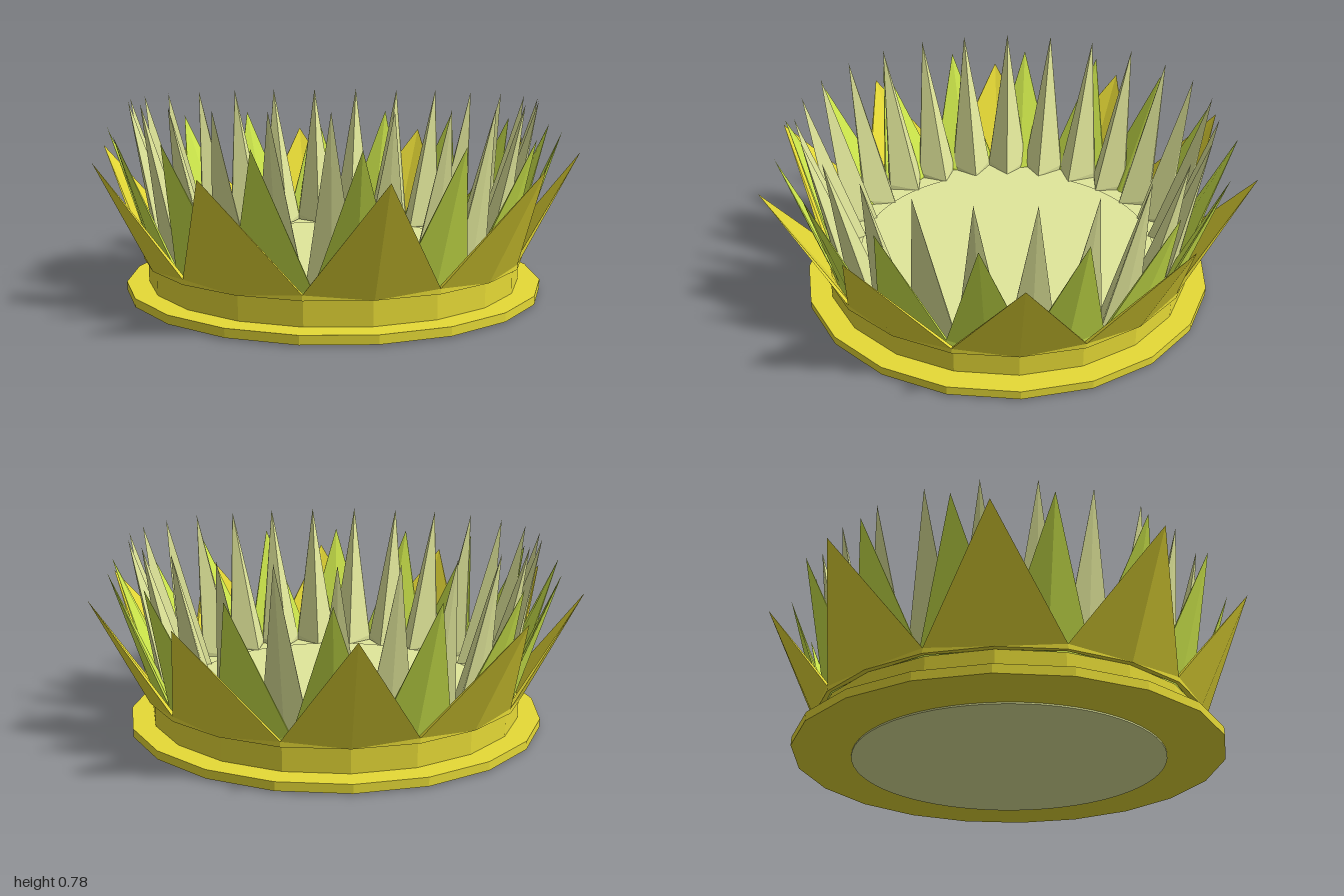
import * as THREE from 'three';

const flat = (name, color) => {
  const m = new THREE.MeshStandardMaterial({ color, flatShading: true, side: THREE.DoubleSide });
  m.name = name;
  return m;
};

// Point on a ring: angle measured from +z towards +x.
const polar = (r, a, y) => [r * Math.sin(a), y, r * Math.cos(a)];

// Ring of pointed petals: an outer and an inner sheet sharing the tips.
// Each sheet: mid = radius at the fold of a petal, valley = radius of the notch between petals.
function petalRing({ count, start, tip, base, notch, outer, inner }) {
  const pos = [];
  const half = Math.PI / count;
  for (let i = 0; i < count; i++) {
    const a = start + i * 2 * half;
    const T = polar(tip[0], a, tip[1]);
    for (const side of [1, -1]) {
      const tri = (p, q, r, flip) =>
        (side > 0) !== flip ? pos.push(...p, ...q, ...r) : pos.push(...p, ...r, ...q);
      const sheet = (s, flip) => {
        const M = polar(s.mid, a, base);
        const L = polar(s.valley, a + side * half, base);
        const V = polar(s.valley, a + side * half, notch);
        tri(T, M, V, flip);
        tri(M, L, V, flip);
        return { M, L, V };
      };
      const o = sheet(outer, false);
      const n = sheet(inner, true);
      // Thin edge between the sheets and the underside
      tri(T, o.V, n.V, false);
      tri(o.M, n.M, n.L, false);
      tri(o.M, n.L, o.L, false);
    }
  }
  const g = new THREE.BufferGeometry();
  g.setAttribute('position', new THREE.Float32BufferAttribute(pos, 3));
  g.computeVertexNormals();
  return g;
}

export function createModel() {
  const model = new THREE.Group();
  const yellow = flat('golden yellow', 0xe6da36);
  const lime = flat('lime green', 0xd4ee4e);
  const pale = flat('pale green', 0xe1e79a);
  const add = (name, geometry, material) => {
    const mesh = new THREE.Mesh(geometry, material);
    mesh.name = name;
    model.add(mesh);
    return mesh;
  };
  // Upright cylinder standing between two heights
  const drum = (name, r, y0, y1, sides, material) => {
    add(name, new THREE.CylinderGeometry(r, r, y1 - y0, sides), material).position.y = (y0 + y1) / 2;
  };

  // Twenty-sided foot plate with a raised band
  const profile = [[0.6, 0.006], [0.857, 0.006], [0.857, 0.04], [0.768, 0.04], [0.768, 0.135], [0.73, 0.135]]
    .map(([x, y]) => new THREE.Vector2(x, y));
  add('footAndBand', new THREE.LatheGeometry(profile, 20), yellow);

  // Round floor, showing above and below, and the bands under the inner petals
  drum('floor', 0.626, 0, 0.138, 64, pale);
  drum('spikeBand', 0.73, 0.03, 0.134, 50, pale);
  drum('middleBand', 0.755, 0.03, 0.131, 32, lime);

  // Outer wide petals
  add('outerPetals', petalRing({
    count: 10, start: Math.PI / 10, tip: [1, 0.57], base: 0.137, notch: 0.157,
    outer: { mid: 0.785, valley: 0.787 },
    inner: { mid: 0.76, valley: 0.772 },
  }), yellow);

  // Middle petals
  add('middlePetals', petalRing({
    count: 16, start: 0, tip: [0.92, 0.665], base: 0.137, notch: 0.165,
    outer: { mid: 0.755, valley: 0.755 },
    inner: { mid: 0.69, valley: 0.745 },
  }), lime);

  // Inner narrow spikes with a sharp ridge towards the middle
  add('innerSpikes', petalRing({
    count: 25, start: 0, tip: [0.83, 0.78], base: 0.137, notch: 0.16,
    outer: { mid: 0.73, valley: 0.73 },
    inner: { mid: 0.615, valley: 0.722 },
  }), pale);

  return model;
}
